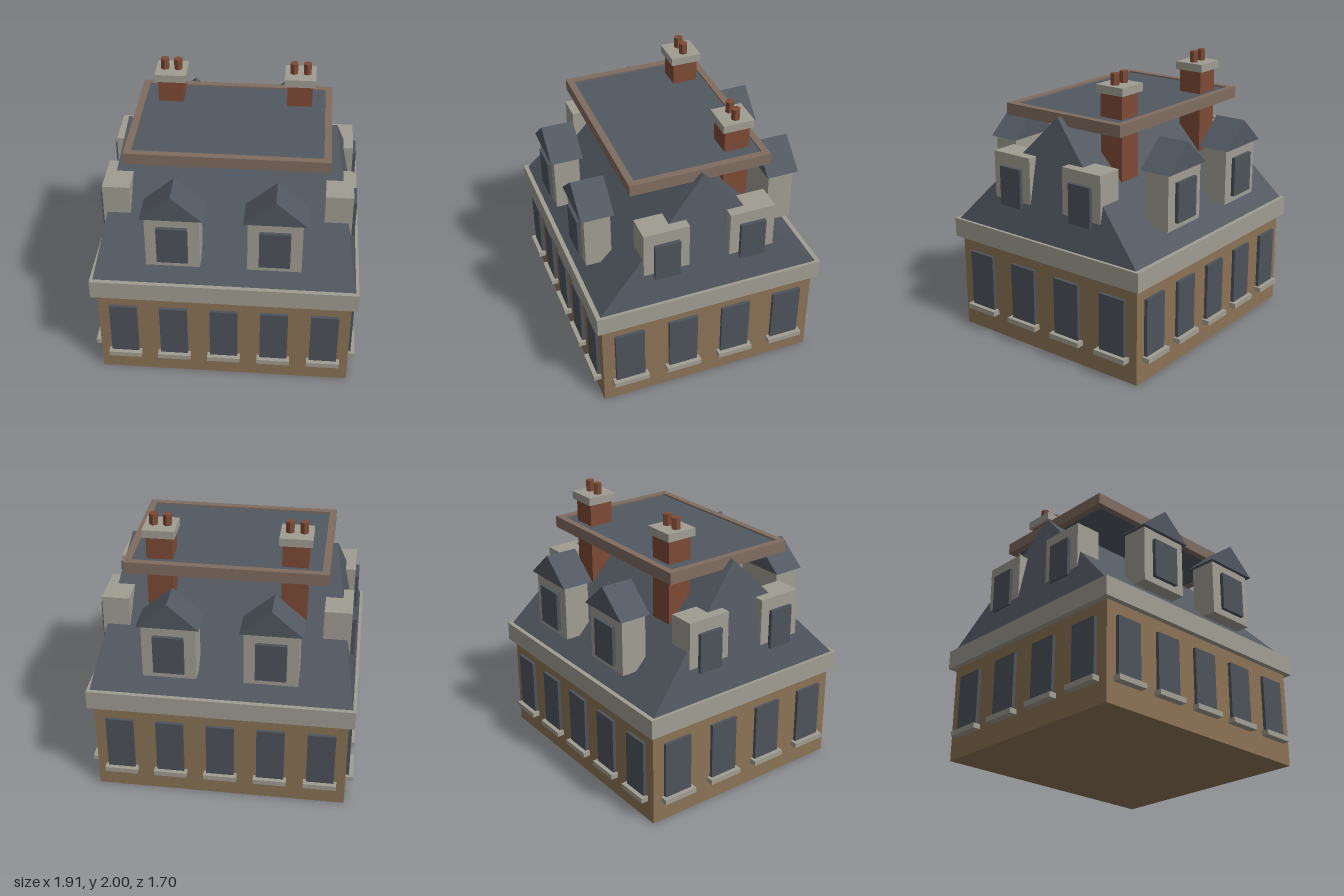
import * as THREE from 'three';
import { ConvexGeometry } from 'three/addons/geometries/ConvexGeometry.js';

const material = (name, color) => {
  const m = new THREE.MeshStandardMaterial({ color });
  m.name = name;
  return m;
};

export function createModel() {
  const ochre = material('ochre wall', 0x8b7355);
  const stone = material('pale stone', 0xa09d92);
  const slate = material('roof slate', 0x525861);
  const glass = material('window glass', 0x4d535b);
  const brick = material('chimney brick', 0x7d4a35);
  const trim = material('deck trim', 0x806c60);

  const house = new THREE.Group();
  house.name = 'mansardHouse';

  const add = (parent, name, geometry, mat, x = 0, y = 0, z = 0) => {
    const mesh = new THREE.Mesh(geometry, mat);
    mesh.name = name;
    mesh.position.set(x, y, z);
    parent.add(mesh);
    return mesh;
  };
  // Box given by its lower and upper bounds on each axis
  const box = (parent, name, mat, [x0, x1], [y0, y1], [z0, z1]) =>
    add(parent, name, new THREE.BoxGeometry(x1 - x0, y1 - y0, z1 - z0), mat,
      (x0 + x1) / 2, (y0 + y1) / 2, (z0 + z1) / 2);
  const around = (c, half) => [c - half, c + half];

  // Walls and cornice
  box(house, 'walls', ochre, [-0.9, 0.9], [0, 0.7], [-0.797, 0.797]);
  box(house, 'cornice', stone, [-0.942, 0.942], [0.7, 0.84], [-0.837, 0.837]);

  // Main roof: hipped ends meeting a short ridge
  const corners = [];
  for (const sx of [-1, 1]) {
    corners.push(new THREE.Vector3(sx * 0.74, 1.692, 0));
    for (const sz of [-1, 1]) corners.push(new THREE.Vector3(sx * 0.92, 0.84, sz * 0.805));
  }
  add(house, 'mainRoof', new ConvexGeometry(corners), slate);

  // Each facade is modelled facing +z, then turned to its side
  const gable = new THREE.Shape([
    new THREE.Vector2(-0.215, 0), new THREE.Vector2(0.215, 0), new THREE.Vector2(0, 0.187),
  ]);
  const gableGeometry = new THREE.ExtrudeGeometry(gable, { depth: 0.235, bevelEnabled: false });

  const facade = (name, turn, wall, centres, paneHalf, sillHalf, dormerXs, dormer) => {
    const side = new THREE.Group();
    side.name = name;
    side.rotation.y = turn;
    house.add(side);
    for (const x of centres) {
      box(side, 'window', glass, around(x, paneHalf), [0.18, 0.605], [wall - 0.02, wall + 0.024]);
      box(side, 'windowSill', stone, around(x, sillHalf), [0.153, 0.19], [wall - 0.02, wall + 0.055]);
    }
    for (const x of dormerXs) {
      box(side, 'dormer', stone, around(x, dormer.half), [0.98, dormer.top], [dormer.back, dormer.face]);
      box(side, 'dormerWindow', glass, around(x, dormer.pane), [1.028, 1.313],
        [dormer.face - 0.02, dormer.face + 0.027]);
      if (dormer.gabled) add(side, 'dormerRoof', gableGeometry, slate, x, 1.386, 0.568);
    }
  };

  const longDormer = { half: 0.187, top: 1.39, back: 0.59, face: 0.778, pane: 0.107, gabled: true };
  const endDormer = { half: 0.164, top: 1.405, back: 0.68, face: 0.872, pane: 0.092, gabled: false };
  ['front', 'back'].forEach((name, i) =>
    facade(name + 'Facade', i * Math.PI, 0.797, [-0.72, -0.36, 0, 0.36, 0.72], 0.099, 0.119,
      [-0.35, 0.35], longDormer));
  ['left', 'right'].forEach((name, i) =>
    facade(name + 'Facade', (i ? -1 : 1) * Math.PI / 2, 0.9, [-0.6, -0.2, 0.2, 0.6], 0.107, 0.131,
      [-0.311, 0.311], endDormer));

  // Flat roof deck with a raised rim
  const rim = new THREE.Shape();
  rim.moveTo(-0.702, -0.505).lineTo(0.702, -0.505).lineTo(0.702, 0.505).lineTo(-0.702, 0.505);
  const opening = new THREE.Path();
  opening.moveTo(-0.652, -0.457).lineTo(-0.652, 0.457).lineTo(0.652, 0.457).lineTo(0.652, -0.457);
  rim.holes.push(opening);
  add(house, 'deckRim', new THREE.ExtrudeGeometry(rim, { depth: 0.083, bevelEnabled: false }), trim, 0, 1.626, 0)
    .rotation.x = -Math.PI / 2;
  box(house, 'deck', slate, [-0.652, 0.652], [1.635, 1.697], [-0.457, 0.457]);

  // Chimneys, each with a cap and two six-sided pots
  const potGeometry = new THREE.CylinderGeometry(0.032, 0.032, 0.09, 6).toNonIndexed();
  potGeometry.computeVertexNormals();
  for (const sx of [-1, 1]) {
    const x = sx * 0.466, z = -0.316;
    const chimney = new THREE.Group();
    chimney.name = sx > 0 ? 'leftChimney' : 'rightChimney';
    house.add(chimney);
    box(chimney, 'chimneyStack', brick, around(x, 0.09), [1.15, 1.87], around(z, 0.09));
    box(chimney, 'chimneyCap', stone, around(x, 0.112), [1.863, 1.92], around(z, 0.112));
    for (const dx of [-0.048, 0.048]) add(chimney, 'chimneyPot', potGeometry, brick, x + dx, 1.955, z);
  }

  return house;
}
